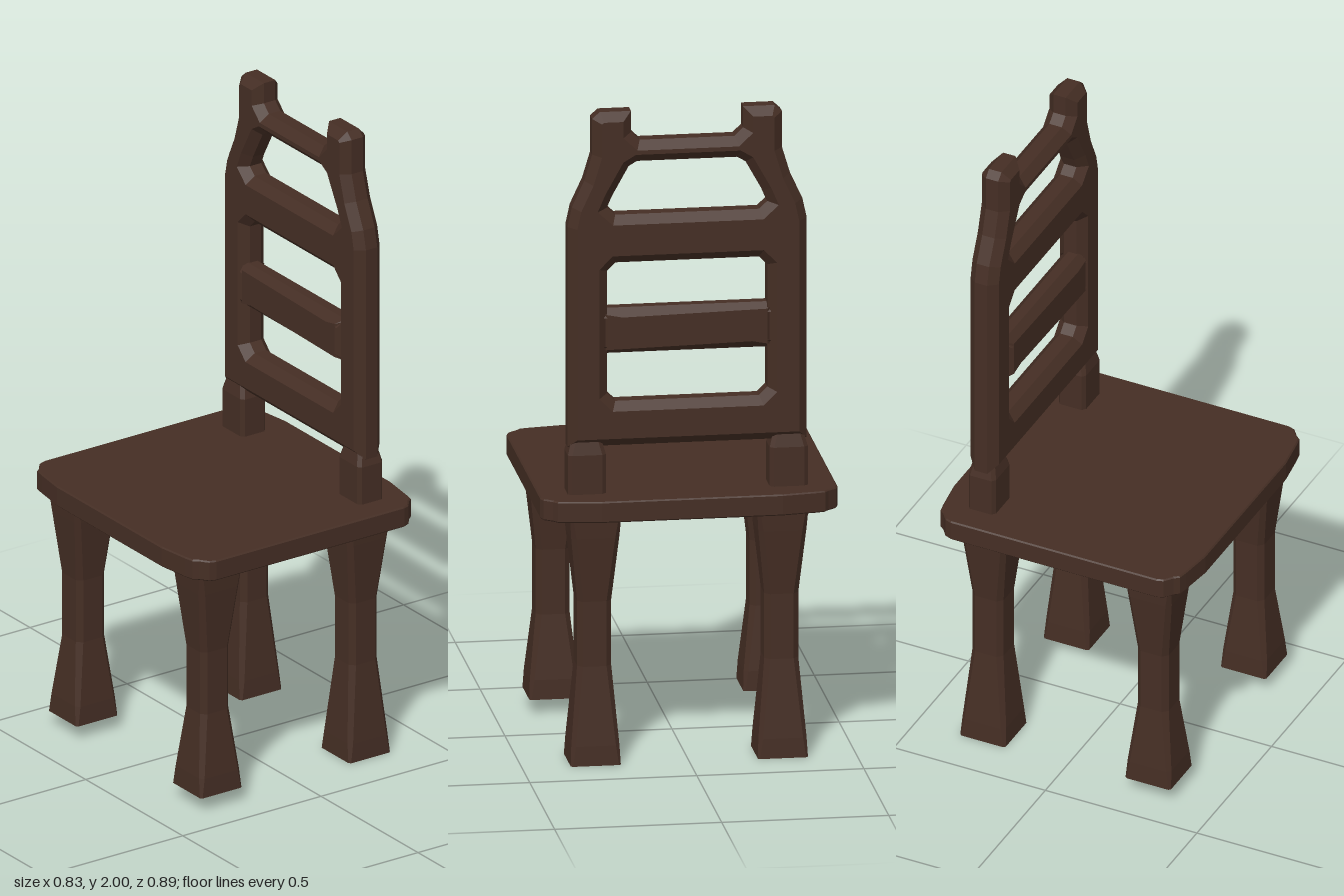
import * as THREE from 'three';

const wood = new THREE.MeshStandardMaterial({ color: 0x452e24, flatShading: true });
wood.name = 'darkWood';

function part(name, geometry, parent) {
  const mesh = new THREE.Mesh(geometry, wood);
  mesh.name = name;
  parent.add(mesh);
  return mesh;
}

const toShape = (pts) => new THREE.Shape(pts.map(([x, y]) => new THREE.Vector2(x, y)));

// mirror a half outline (z >= 0) to a closed symmetric one
const mirrored = (half) => [...half, ...half.map(([z, y]) => [-z, y]).reverse()];

// rectangle with cut corners
function cutRect(z0, z1, y0, y1, c) {
  return [[z0 + c, y0], [z1 - c, y0], [z1, y0 + c], [z1, y1 - c],
    [z1 - c, y1], [z0 + c, y1], [z0, y1 - c], [z0, y0 + c]];
}

// bevelled slab standing in the z-y plane, between x0 and x1
function slab(shape, x0, x1, bevel) {
  const g = new THREE.ExtrudeGeometry(shape, {
    depth: x1 - x0 - 2 * bevel, bevelEnabled: true, bevelSegments: 1,
    bevelThickness: bevel, bevelSize: bevel, bevelOffset: -bevel,
  });
  g.translate(0, 0, x0 + bevel);
  g.rotateY(Math.PI / 2);
  return g;
}

// loft of cut-corner squares; each section is [y, half width, corner cut]
function loft(sections) {
  const pos = [], index = [], n = 8;
  for (const [y, h, c] of sections) {
    for (const [x, z] of cutRect(-h, h, -h, h, c)) pos.push(x, y, z);
  }
  for (let s = 0; s < sections.length - 1; s++) {
    for (let i = 0; i < n; i++) {
      const a = s * n + i, b = s * n + (i + 1) % n;
      index.push(a, a + n, b, b, a + n, b + n);
    }
  }
  const top = (sections.length - 1) * n;
  for (let i = 1; i < n - 1; i++) {
    index.push(0, i, i + 1, top, top + i + 1, top + i);
  }
  const g = new THREE.BufferGeometry();
  g.setAttribute('position', new THREE.Float32BufferAttribute(pos, 3));
  g.setIndex(index);
  const flat = g.toNonIndexed();
  flat.computeVertexNormals();
  return flat;
}

export function createModel() {
  const chair = new THREE.Group();
  chair.name = 'chair';

  // seat with softly cut corners
  const corner = [[0.415, 0.27], [0.401, 0.37], [0.395, 0.40], [0.38, 0.412], [0.36, 0.438], [0.34, 0.445]];
  const half = [...corner.map(([x, z]) => [x, -z]).reverse(), ...corner];
  const seat = new THREE.ExtrudeGeometry(toShape(mirrored(half)), {
    depth: 0.057, bevelEnabled: true, bevelSegments: 1,
    bevelThickness: 0.004, bevelSize: 0.004, bevelOffset: -0.004,
  });
  seat.rotateX(-Math.PI / 2);
  seat.translate(0, 0.769, 0);
  part('seat', seat, chair);

  // waisted legs; the pair away from the backrest is a little shorter
  const legs = [['frontLeg', -0.285, 0.32, 0.045], ['rearLeg', 0.28, 0.28, 0]];
  for (const [name, x, z, foot] of legs) {
    const geo = loft([
      [foot, 0.075, 0.006], [foot + 0.06, 0.072, 0.012], [0.3, 0.051, 0.016],
      [0.5, 0.051, 0.016], [0.7, 0.072, 0.014], [0.77, 0.077, 0.008],
    ]);
    for (const side of [-1, 1]) part(name, geo, chair).position.set(x, 0, side * z);
  }

  // backrest frame: posts and rails in one bevelled slab
  const back = new THREE.Group();
  back.name = 'backrest';
  chair.add(back);
  const frame = toShape(mirrored([
    [0.358, 0.972], [0.358, 1.65], [0.345, 1.71], [0.308, 1.79], [0.284, 1.87],
    [0.284, 1.98], [0.262, 2.0], [0.168, 2.0], [0.168, 1.935], [0.142, 1.91],
  ]));
  frame.holes.push(
    toShape(cutRect(-0.24, 0.24, 1.108, 1.535, 0.025)),
    toShape(mirrored([[0.215, 1.682], [0.24, 1.705], [0.225, 1.74], [0.175, 1.83], [0.15, 1.845]])),
  );
  part('backFrame', slab(frame, 0.236, 0.329, 0.026), back);

  // middle rail
  part('middleRail', slab(toShape(cutRect(-0.265, 0.265, 1.253, 1.392, 0.005)), 0.232, 0.315, 0.026), back);

  // short posts joining the frame to the seat
  for (const side of [-1, 1]) {
    const foot = loft([[0.82, 0.057, 0.012], [0.95, 0.057, 0.012], [1.0, 0.043, 0.012]]);
    foot.scale(0.79, 1, 1);
    part('postFoot', foot, back).position.set(0.283, 0, side * 0.302);
  }
  return chair;
}
